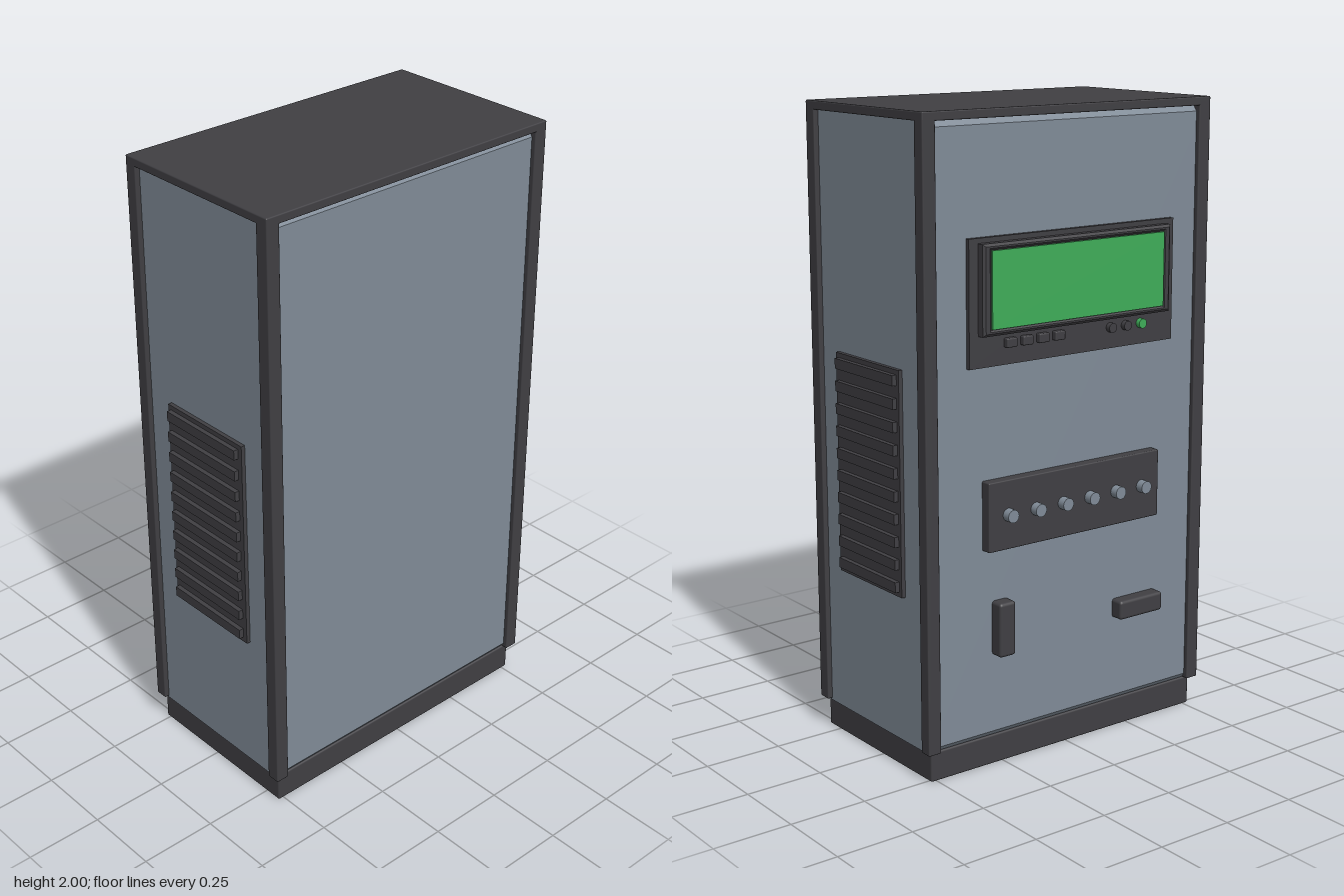
import * as THREE from 'three';
import { RoundedBoxGeometry } from 'three/addons/geometries/RoundedBoxGeometry.js';

export function createModel() {
  const root = new THREE.Group();
  const mat = (name, color) => {
    const m = new THREE.MeshStandardMaterial({ color });
    m.name = name;
    return m;
  };
  const dark = mat('darkFrame', 0x403f43);
  const panel = mat('bluegreyPanel', 0x808b97);
  const green = mat('greenScreen', 0x3fad59);

  const add = (name, geo, material, x = 0, y = 0, z = 0, parent = root) => {
    const m = new THREE.Mesh(geo, material);
    m.name = name;
    m.position.set(x, y, z);
    parent.add(m);
    return m;
  };
  // box given by its limits on each axis
  const box = (name, material, [x0, x1], [y0, y1], [z0, z1], parent = root, r = 0) => {
    const s = [x1 - x0, y1 - y0, z1 - z0];
    const geo = r ? new RoundedBoxGeometry(...s, 2, r) : new THREE.BoxGeometry(...s);
    return add(name, geo, material, (x0 + x1) / 2, (y0 + y1) / 2, (z0 + z1) / 2, parent);
  };

  // plinth
  box('plinth', dark, [-0.52, 0.52], [0, 0.095], [-0.265, 0.31], root, 0.006);

  // recessed cabinet walls, sloped at the top and bottom of the front and back
  const profile = new THREE.Shape([
    [-0.255, 0.09], [0.3, 0.09], [0.315, 0.11], [0.315, 1.955],
    [0.3, 1.975], [-0.255, 1.975], [-0.27, 1.955], [-0.27, 0.11],
  ].map(([z, y]) => new THREE.Vector2(z, y)));
  const walls = new THREE.ExtrudeGeometry(profile, { depth: 1.05, bevelEnabled: false });
  walls.translate(0, 0, -0.525).rotateY(-Math.PI / 2);
  add('cabinetWalls', walls, panel);

  // frame: lid and four corner posts
  box('lid', dark, [-0.541, 0.541], [1.973, 2], [-0.285, 0.33], root, 0.004);
  for (const s of [-1, 1]) {
    const xs = s < 0 ? [-0.541, -0.496] : [0.496, 0.541];
    box('frontPost', dark, xs, [0.095, 1.99], [0.285, 0.33], root, 0.004);
    box('backPost', dark, xs, [0.095, 1.99], [-0.285, -0.243], root, 0.004);
  }

  // louvred vents on both sides
  for (const s of [-1, 1]) {
    const vent = new THREE.Group();
    vent.name = s > 0 ? 'leftVent' : 'rightVent';
    root.add(vent);
    add('ventPlate', new THREE.BoxGeometry(0.02, 0.695, 0.34), dark, s * 0.528, 0.903, 0.024, vent);
    for (let i = 0; i < 10; i++) {
      add('ventSlat', new THREE.BoxGeometry(0.03, 0.032, 0.312), dark, s * 0.538, 0.588 + i * 0.0702, 0.022, vent);
    }
  }

  // display unit on the back
  const cx = -0.006;
  const display = new THREE.Group();
  display.name = 'display';
  root.add(display);
  box('displayPlate', dark, [cx - 0.39, cx + 0.39], [1.255, 1.635], [-0.284, -0.26], display);

  const rect = (Type, w, h) => new Type([[-w, -h], [w, -h], [w, h], [-w, h]]
    .map(([x, y]) => new THREE.Vector2(x, y)));
  const bezelShape = rect(THREE.Shape, 0.35, 0.127);
  bezelShape.holes.push(rect(THREE.Path, 0.335, 0.122));
  const bezel = new THREE.ExtrudeGeometry(bezelShape, {
    depth: 0.028, bevelSize: 0.008, bevelThickness: 0.006, bevelSegments: 1,
  });
  bezel.rotateY(Math.PI);
  add('displayBezel', bezel, dark, cx, 1.485, -0.278, display);
  box('displayBacking', dark, [cx - 0.345, cx + 0.345], [1.36, 1.61], [-0.308, -0.27], display);
  box('screen', green, [cx - 0.328, cx + 0.328], [1.37, 1.6], [-0.314, -0.307], display);

  // short cylinder pointing out of the back
  const stud = (name, material, r, x, y, z0, z1, parent) => {
    const geo = new THREE.CylinderGeometry(r, r, z1 - z0, 24).rotateX(Math.PI / 2);
    add(name, geo, material, x, y, (z0 + z1) / 2, parent);
  };
  for (const x of [0.24, 0.18, 0.12, 0.06]) {
    box('displayButton', dark, [x - 0.019, x + 0.019], [1.307, 1.335], [-0.301, -0.28], display, 0.004);
  }
  [-0.145, -0.205, -0.265].forEach((x, i) =>
    stud('indicatorLamp', i === 2 ? green : dark, 0.015, x, 1.32, -0.3, -0.28, display));

  // control panel with a row of knobs
  const controls = new THREE.Group();
  controls.name = 'controlPanel';
  root.add(controls);
  box('controlPlate', dark, [-0.335, 0.33], [0.695, 0.91], [-0.304, -0.26], controls, 0.004);
  for (let i = 0; i < 6; i++) {
    stud('knob', panel, 0.02, -0.264 + i * 0.1045, 0.803, -0.331, -0.3, controls);
  }

  // door handles
  box('verticalHandle', dark, [0.235, 0.295], [0.358, 0.53], [-0.313, -0.26], root, 0.01);
  box('horizontalHandle', dark, [-0.355, -0.18], [0.375, 0.437], [-0.313, -0.26], root, 0.01);

  return root;
}
